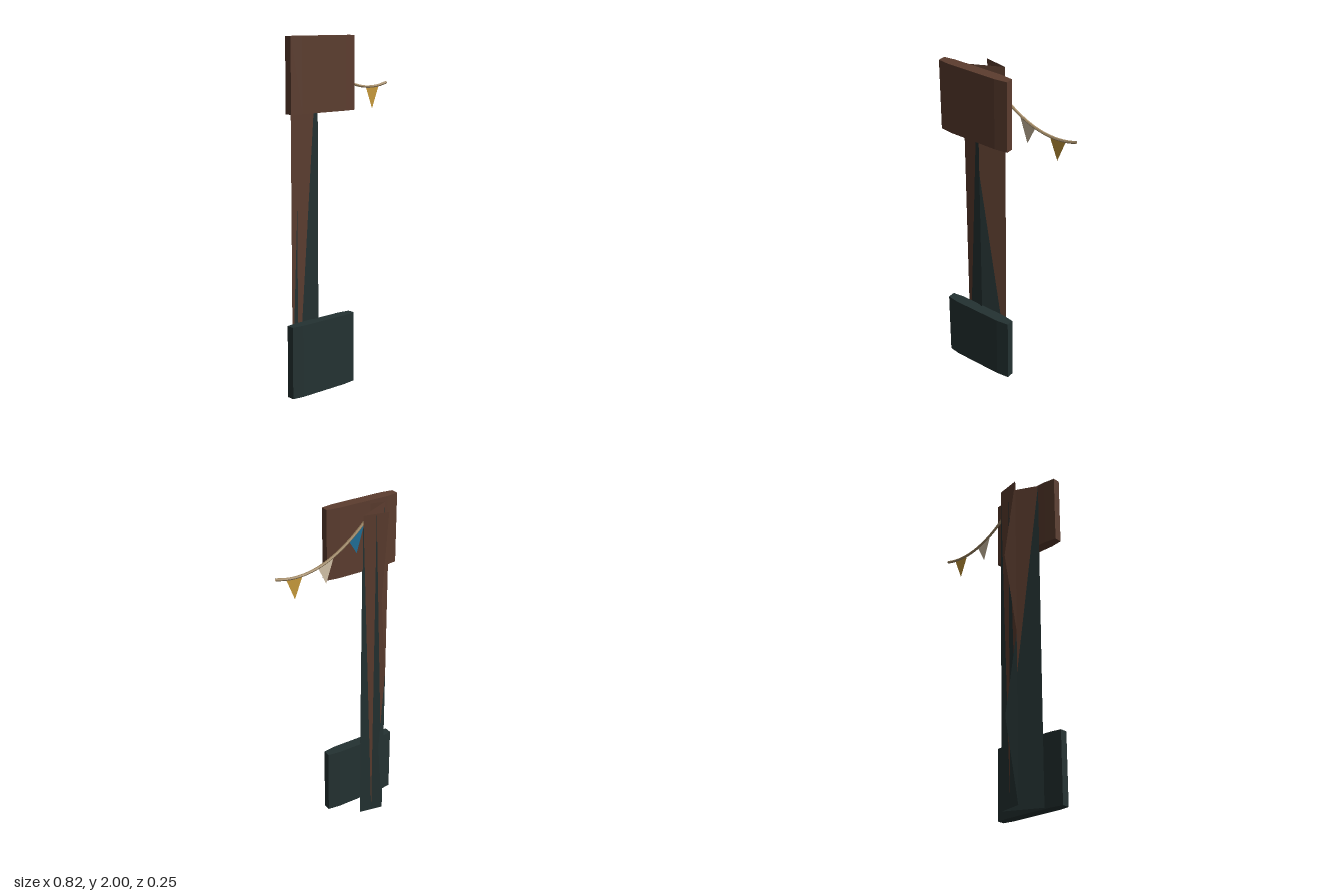
import * as THREE from 'three';

const mat = (name, color, open) => {
  const m = new THREE.MeshStandardMaterial({ color, flatShading: true });
  if (open) m.side = THREE.DoubleSide;
  m.name = name;
  return m;
};

export function createModel() {
  const model = new THREE.Group();
  const brown = mat('rust brown', 0x5c3d2f, true);
  const dark = mat('dark slate', 0x243232, true);
  const ropeMat = mat('rope tan', 0xa48c68, true);
  const cream = mat('cream', 0xd4c3a8, true);
  const gold = mat('gold', 0xc79a3c, true);
  const blue = mat('blue', 0x1f6f96, true);

  const add = (name, geometry, material, parent = model) => {
    const mesh = new THREE.Mesh(geometry, material);
    mesh.name = name;
    parent.add(mesh);
    return mesh;
  };
  const triangle = (...points) => {
    const g = new THREE.BufferGeometry().setFromPoints(points.map((p) => new THREE.Vector3(...p)));
    g.computeVertexNormals();
    return g;
  };

  // Upper and lower boards: flat slabs with bevelled ends
  const outline = [[-0.41, 0.07], [-0.34, 0.06], [-0.03, 0.06], [0.047, 0.07],
    [0.047, 0.115], [-0.03, 0.125], [-0.34, 0.125], [-0.41, 0.115]];
  const boardShape = new THREE.Shape(outline.map(([x, z]) => new THREE.Vector2(x, -z)));
  const board = (name, y, height, material) => {
    const g = new THREE.ExtrudeGeometry(boardShape, { depth: height, bevelEnabled: false });
    g.rotateX(-Math.PI / 2).translate(0, y, 0);
    add(name, g, material);
  };
  board('upperBoard', 1.588, 0.412, brown);
  board('lowerBoard', 0, 0.415, dark);

  // Folded hanging: zigzag of thin panels, each split on a diagonal into two colours
  const hanging = new THREE.Group();
  hanging.name = 'foldedHanging';
  model.add(hanging);
  const top = 1.98;
  const panel = (name, [ax, az], [bx, bz]) => {
    // a = corner where the diagonal starts at the floor, b = where it reaches the top
    add(name + 'Lower', triangle([ax, 0, az], [bx, 0, bz], [bx, top, bz]), dark, hanging);
    add(name + 'Upper', triangle([ax, 0, az], [bx, top, bz], [ax, top, az]), brown, hanging);
  };
  const frontEdge = [-0.185, 0.07], leftFold = [-0.31, 0.04], rightFold = [-0.1, -0.06];
  const backMiddle = [-0.175, -0.075], backFold = [-0.245, -0.09];
  panel('frontPanel', leftFold, frontEdge);
  panel('middlePanel', rightFold, leftFold);
  panel('backPanelInner', backMiddle, rightFold);
  panel('backPanelOuter', backFold, backMiddle);

  // Pointed flaps turned over the back fold
  [dark, brown].forEach((material, i) => {
    const y0 = i * 0.99;
    const [x, z] = backFold;
    add('pointedFlap', triangle([x, y0, z], [x, y0 + 0.99, z], [-0.186, y0 + 0.495, -0.122]), material, hanging);
  });

  // Sagging rope
  const sag = (x) => 1.7 + 1.18 * (x - 0.28) ** 2;
  const points = [];
  for (let i = 0; i <= 12; i++) {
    const x = -0.185 + (0.592 * i) / 12;
    points.push(new THREE.Vector3(x, sag(x), -0.002));
  }
  add('rope', new THREE.TubeGeometry(new THREE.CatmullRomCurve3(points), 24, 0.008, 6), ropeMat);

  // Pennants on the rope
  [[-0.1, blue], [0.096, cream], [0.293, gold]].forEach(([x, material]) => {
    const l = x - 0.052, r = x + 0.052;
    add('pennant', triangle([l, sag(l), 0], [x, sag(x) - 0.128, 0], [r, sag(r), 0]), material);
  });

  return model;
}
